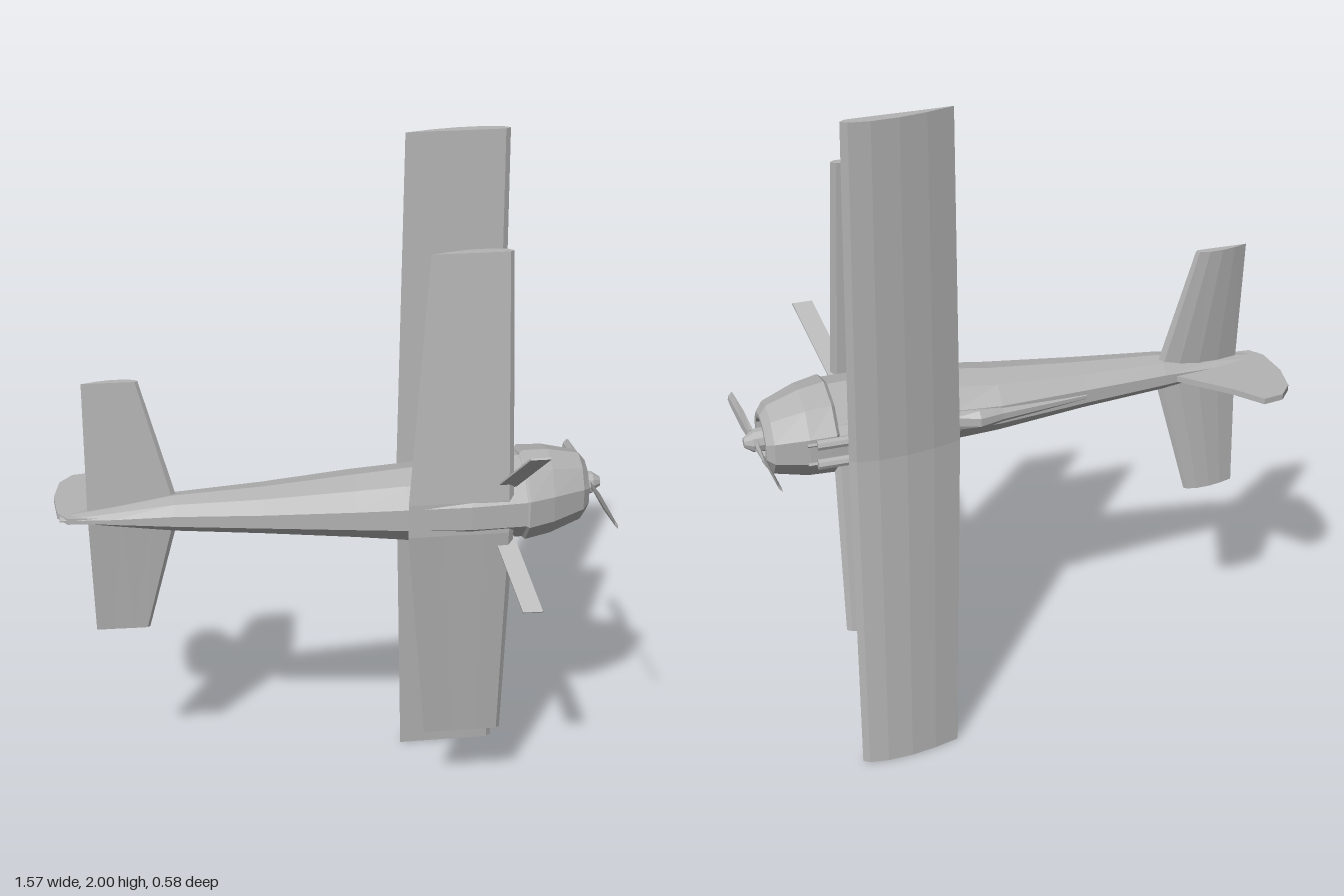
import * as THREE from 'three';

const grey = new THREE.MeshStandardMaterial({ color: 0xb4b4b4 });
grey.name = 'airframe grey';
grey.flatShading = true;

const V = (x, y, z) => new THREE.Vector3(x, y, z);

// Skin a list of equal-length rings and cap both ends, faces outward
function loft(rings) {
  const tris = [];
  const n = rings[0].length;
  for (let i = 0; i < rings.length - 1; i++) {
    for (let j = 0; j < n; j++) {
      const k = (j + 1) % n;
      const a = rings[i][j], b = rings[i][k], c = rings[i + 1][k], d = rings[i + 1][j];
      tris.push([a, b, c], [a, c, d]);
    }
  }
  const last = rings[rings.length - 1];
  const mid = (r) => r.reduce((s, p) => s.add(p), V(0, 0, 0)).divideScalar(n);
  const m0 = mid(rings[0]), m1 = mid(last);
  for (let j = 0; j < n; j++) {
    const k = (j + 1) % n;
    tris.push([m0, rings[0][k], rings[0][j]], [m1, last[j], last[k]]);
  }
  let volume = 0;
  for (const [a, b, c] of tris) volume += a.dot(b.clone().cross(c));
  const pos = [];
  for (const t of tris) {
    if (volume < 0) t.reverse();
    for (const p of t) pos.push(p.x, p.y, p.z);
  }
  const g = new THREE.BufferGeometry();
  g.setAttribute('position', new THREE.Float32BufferAttribute(pos, 3));
  g.computeVertexNormals();
  return g;
}

// Faceted body from stations [x, yCentre, halfWidth, zTop, zBottom]
function body(stations, sides = 10) {
  return loft(stations.map(([x, y, w, zt, zb]) => {
    const ring = [];
    for (let i = 0; i < sides; i++) {
      const a = ((i + 0.5) / sides) * Math.PI * 2;
      const flat = Math.cos(Math.PI / sides);
      ring.push(V(x, y + w * Math.sin(a), (zt + zb) / 2 + ((zb - zt) / 2) * Math.cos(a) / flat));
    }
    return ring;
  }));
}

// Wing from stations [y, xTrailing, xLeading, zTrailing, zLeading, thickness]
const foil = [[0, 0], [0.25, 0.6], [0.5, 0.95], [0.75, 1], [0.94, 0.7], [1, 0.3],
  [0.95, -0.05], [0.7, -0.05], [0.35, 0]];
function wing(stations) {
  return loft(stations.map(([y, x0, x1, z0, z1, t]) =>
    foil.map(([u, h]) => V(x0 + (x1 - x0) * u, y, z0 + (z1 - z0) * u - t * h))));
}

// Flat plate between two points, broad along x
function strut(a, b, width, thick) {
  const side = b.clone().sub(a).cross(V(1, 0, 0)).setLength(thick / 2);
  const ring = (p) => [[-1, -1], [1, -1], [1, 1], [-1, 1]].map(([u, v]) =>
    p.clone().addScaledVector(side, v).add(V((u * width) / 2, 0, 0)));
  return loft([ring(a), ring(b)]);
}

// Cylinder lying along x
function tube(r0, r1, x0, x1, y, z, sides) {
  const g = new THREE.CylinderGeometry(r1, r0, x1 - x0, sides);
  g.rotateZ(-Math.PI / 2);
  g.translate((x0 + x1) / 2, y, z);
  return g;
}

export function createModel() {
  const model = new THREE.Group();
  model.name = 'biplane';
  const add = (name, geometry) => {
    const m = new THREE.Mesh(geometry, grey);
    m.name = name;
    model.add(m);
  };

  // Fuselage with a headrest behind the cockpit
  add('fuselage', body([
    [-0.77, 0.997, 0.006, 0.0, 0.045],
    [-0.62, 0.998, 0.025, -0.02, 0.068],
    [-0.45, 1.002, 0.05, -0.04, 0.09],
    [-0.2, 1.002, 0.066, -0.062, 0.118],
    [0.06, 1.002, 0.09, -0.088, 0.142],
    [0.2, 1.003, 0.105, -0.085, 0.155],
    [0.38, 1.004, 0.115, -0.1, 0.165],
    [0.55, 1.005, 0.12, -0.125, 0.158]]));
  add('headrest', body([
    [-0.2, 1.002, 0.012, -0.064, -0.04],
    [0.06, 1.002, 0.025, -0.098, -0.06],
    [0.13, 1.002, 0.032, -0.115, -0.06],
    [0.2, 1.002, 0.034, -0.088, -0.06]], 8));
  add('foredeck', body([
    [0.2, 1.004, 0.05, -0.09, -0.05],
    [0.42, 1.004, 0.055, -0.11, -0.05],
    [0.47, 1.005, 0.06, -0.133, -0.05],
    [0.56, 1.005, 0.06, -0.138, -0.05]], 8));

  // Engine cowling with recessed front opening
  add('cowling', body([
    [0.535, 1.005, 0.122, -0.125, 0.155],
    [0.545, 1.005, 0.131, -0.137, 0.163],
    [0.62, 1.005, 0.125, -0.135, 0.135],
    [0.715, 1.005, 0.1, -0.118, 0.085],
    [0.735, 1.005, 0.074, -0.1, 0.062],
    [0.735, 1.005, 0.06, -0.082, 0.045],
    [0.71, 1.005, 0.058, -0.08, 0.043]]));

  // Wings
  add('upperWing', wing([
    [0.002, 0.245, 0.537, -0.226, -0.234, 0.03],
    [1, 0.212, 0.53, -0.183, -0.192, 0.032],
    [2, 0.23, 0.527, -0.237, -0.246, 0.03]]));
  add('lowerWing', wing([
    [0.245, 0.27, 0.5, 0.086, 0.082, 0.028],
    [0.95, 0.2, 0.502, 0.16, 0.155, 0.035],
    [1.05, 0.2, 0.5, 0.158, 0.153, 0.035],
    [1.76, 0.26, 0.487, 0.076, 0.072, 0.028]]));

  // Tail surfaces
  add('tailplane', wing([
    [0.607, -0.685, -0.53, -0.01, -0.01, 0.02],
    [1, -0.692, -0.43, 0.024, 0.018, 0.03],
    [1.39, -0.69, -0.535, -0.01, -0.01, 0.02]]));
  const outline = [[-0.48, -0.03], [-0.61, -0.155], [-0.675, -0.235], [-0.735, -0.225],
    [-0.772, -0.18], [-0.787, -0.09], [-0.777, 0.01], [-0.748, 0.05], [-0.5, 0.07]];
  const finShape = new THREE.Shape(outline.map(([x, z]) => new THREE.Vector2(x, z)));
  const fin = new THREE.ExtrudeGeometry(finShape, { depth: 0.018, bevelEnabled: false });
  fin.rotateX(Math.PI / 2);
  fin.translate(0, 1.007, 0);
  add('fin', fin);

  // Paired struts, landing legs and guns
  for (const s of [-1, 1]) {
    const y = (d) => 1.005 + s * d;
    add('cabaneStrut', strut(V(0.4, y(0.105), -0.07), V(0.345, y(0.238), -0.2), 0.055, 0.006));
    add('landingLeg', strut(V(0.478, y(0.08), 0.132), V(0.538, y(0.24), 0.292), 0.057, 0.006));
    add('gunBody', tube(0.015, 0.015, 0.45, 0.605, y(0.03), -0.152, 8));
    add('gunBarrel', tube(0.005, 0.005, 0.6, 0.63, y(0.03), -0.148, 6));
  }

  // Propeller, slightly tilted, with a hub
  const blade = [[-0.29, 0.012], [-0.27, 0.018], [-0.15, 0.025], [-0.025, 0.014],
    [0.1, 0.025], [0.22, 0.018], [0.245, 0.012]];
  add('propeller', loft(blade.map(([z, w]) => {
    const x = 0.754 + (z + 0.025) * 0.065;
    const lean = z < -0.025 ? 0.006 : -0.006;
    return [V(x - lean, 1.005 - w, z), V(x + 0.004, 1.005, z),
      V(x + lean, 1.005 + w, z), V(x - 0.004, 1.005, z)];
  })));
  add('hub', tube(0.036, 0.032, 0.705, 0.76, 1.005, -0.022, 10));
  add('spinner', tube(0.03, 0.014, 0.76, 0.784, 1.005, -0.026, 10));

  return model;
}
